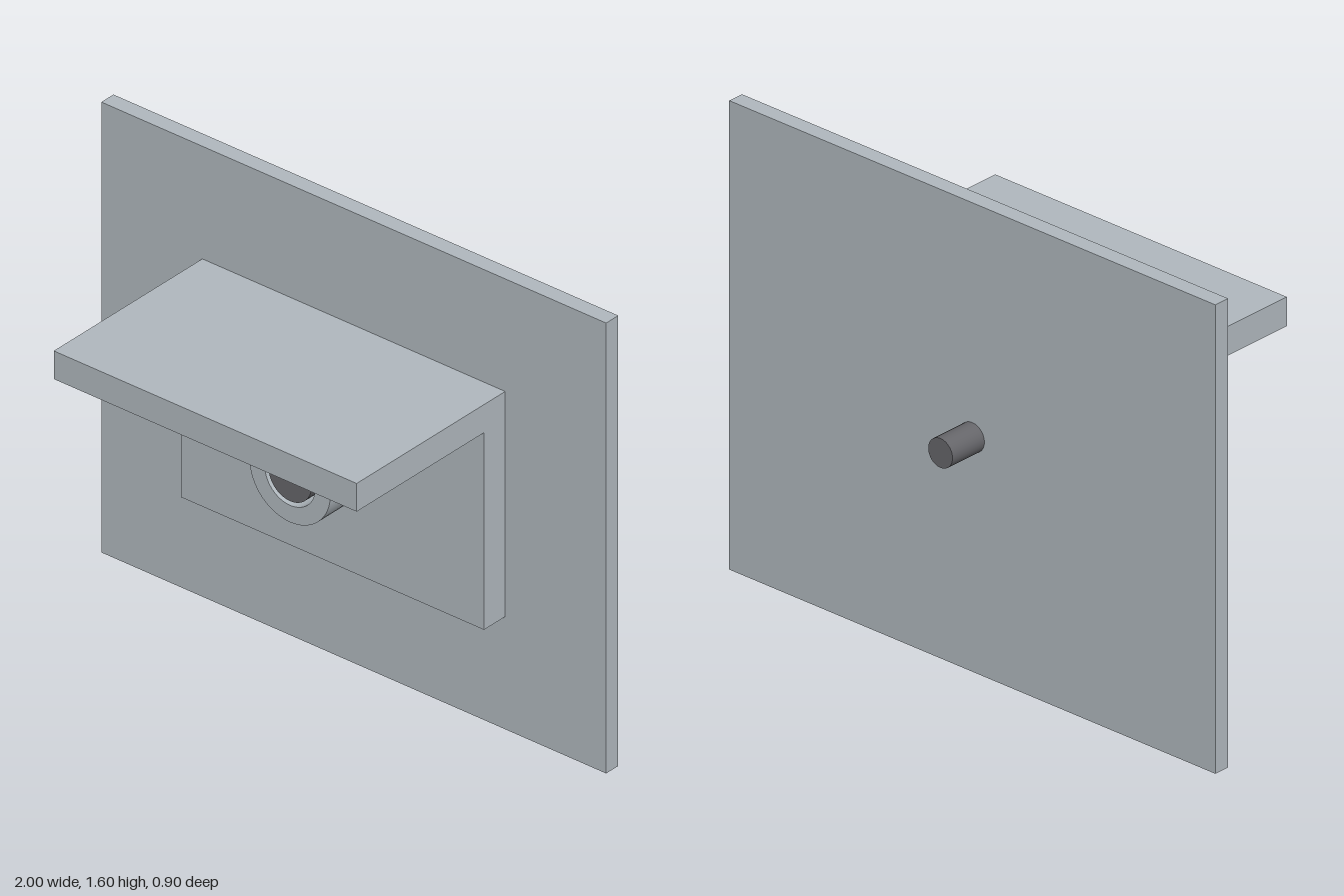
import * as THREE from 'three';

const AXIS_Y = 0.8; // height of the shaft axis

function mesh(name, geometry, material) {
  const m = new THREE.Mesh(geometry, material);
  m.name = name;
  return m;
}

// Cylinder lying along z between two depths
function rod(name, radius, zFront, zBack, material) {
  const g = new THREE.CylinderGeometry(radius, radius, zFront - zBack, 48);
  g.rotateX(Math.PI / 2).translate(0, AXIS_Y, (zFront + zBack) / 2);
  return mesh(name, g, material);
}

export function createModel() {
  const model = new THREE.Group();
  model.name = 'shaftBracket';
  const steel = new THREE.MeshStandardMaterial({ color: 0xb0b8be });
  steel.name = 'light steel';
  const dark = new THREE.MeshStandardMaterial({ color: 0x66666a });
  dark.name = 'dark steel';

  // Wall panel
  const panel = new THREE.BoxGeometry(2, 1.6, 0.057);
  panel.translate(0, 0.8, -0.2785);
  model.add(mesh('wallPanel', panel, steel));

  // L-shaped bracket: profile in (-z, y), extruded across x
  const profile = new THREE.Shape([
    [0.25, 0.4], [0.25, 1.2], [-0.45, 1.2], [-0.45, 1.1], [0.15, 1.1], [0.15, 0.4],
  ].map(([x, y]) => new THREE.Vector2(x, y)));
  const bracket = new THREE.ExtrudeGeometry(profile, { depth: 1.2, bevelEnabled: false });
  bracket.translate(0, 0, -0.6).rotateY(Math.PI / 2);
  model.add(mesh('angleBracket', bracket, steel));

  // Bearing sleeve with a bore; corners doubled to keep the edges sharp
  const sleeve = new THREE.LatheGeometry([
    [0.1, 0], [0.16, 0], [0.16, 0], [0.16, 0.2], [0.16, 0.2], [0.1, 0.2], [0.1, 0.2], [0.1, 0],
  ].map(([r, h]) => new THREE.Vector2(r, h)), 48);
  sleeve.rotateX(Math.PI / 2).translate(0, AXIS_Y, -0.15);
  model.add(mesh('bearingSleeve', sleeve, steel));

  // Stepped shaft: thick in the sleeve, thin behind the panel
  model.add(rod('shaftFront', 0.085, 0.05, -0.16, dark));
  model.add(rod('shaftRear', 0.05, -0.16, -0.45, dark));

  return model;
}
